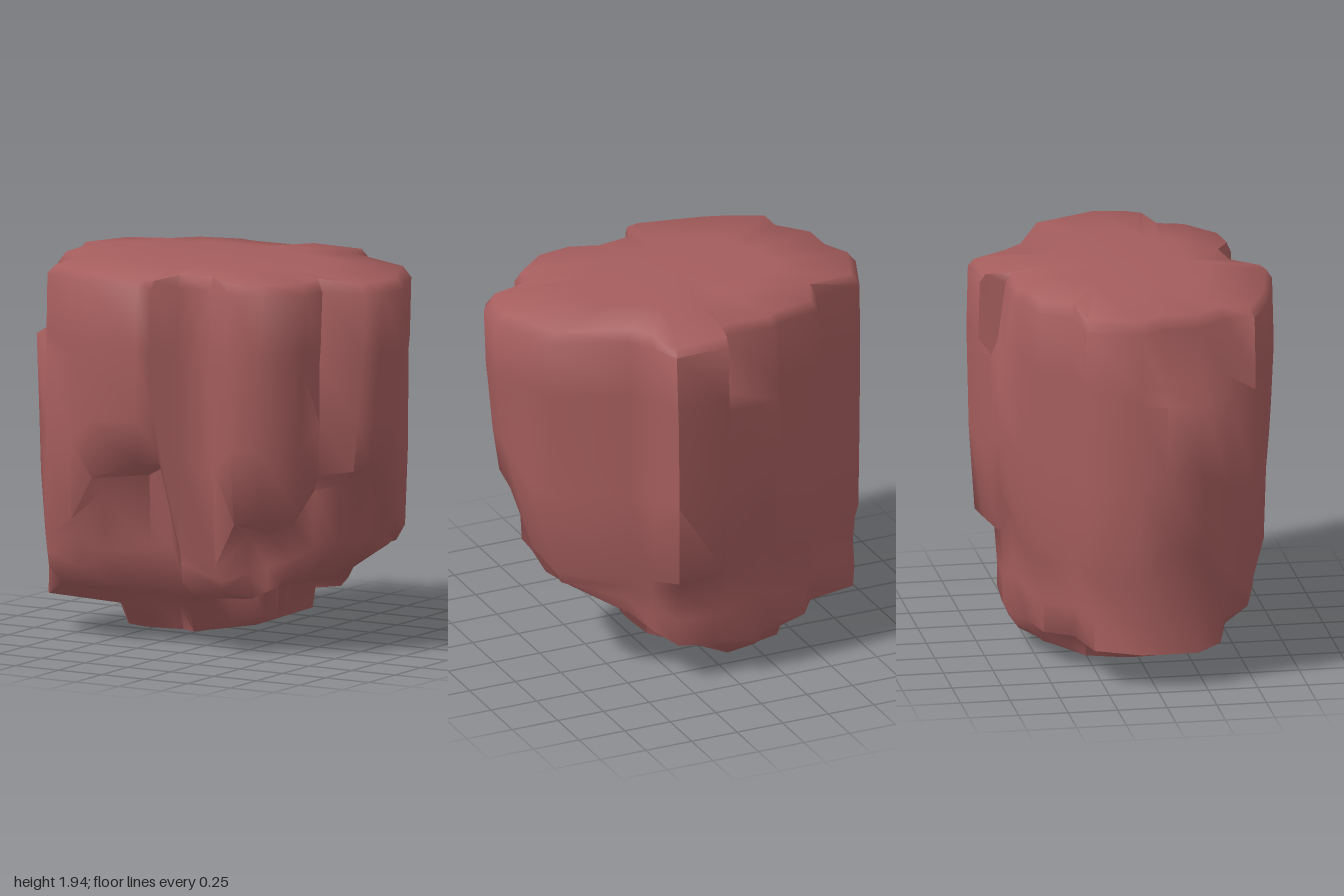
import * as THREE from 'three';
import { toCreasedNormals } from 'three/addons/utils/BufferGeometryUtils.js';

// Vertical ribs around the rock: upper x, z, shelf height, then x, z below the shelf
const ribs = [
  [1.0, 0.0, 0.9, 0.81, 0.0], [0.98, 0.17, 0.93, 0.8, 0.14], [0.93, 0.25, 0.91, 0.76, 0.21],
  [0.7, 0.29, 0.88, 0.64, 0.27], [0.69, 0.43, 0.7, 0.54, 0.32], [0.52, 0.58, 0.66, 0.43, 0.36],
  [0.34, 0.6, 0.64, 0.34, 0.4], [0.2, 0.53, 0.42, 0.24, 0.5], [0.02, 0.56, 0.5, 0.04, 0.55],
  [-0.05, 0.71, 1.0, -0.02, 0.56], [-0.12, 0.73, 0.92, -0.18, 0.5], [-0.45, 0.66, 0.82, -0.42, 0.55],
  [-0.57, 0.62, 0.6, -0.57, 0.56], [-0.76, 0.53, 0.48, -0.77, 0.5], [-0.85, 0.38, 0.55, -0.87, 0.36],
  [-1.0, 0.23, 0.75, -0.95, 0.22], [-1.0, 0.05, 0.75, -0.96, 0.04], [-0.95, -0.08, 0.6, -0.95, -0.08],
  [-0.85, -0.34, 0.6, -0.84, -0.3], [-0.6, -0.37, 0.6, -0.6, -0.36], [-0.53, -0.53, 0.6, -0.5, -0.5],
  [-0.3, -0.58, 0.6, -0.28, -0.55], [-0.25, -0.68, 0.8, -0.2, -0.61], [0.02, -0.67, 0.6, 0.02, -0.62],
  [0.05, -0.73, 0.58, 0.08, -0.62], [0.34, -0.74, 0.55, 0.28, -0.61], [0.4, -0.57, 0.52, 0.38, -0.52],
  [0.48, -0.47, 0.54, 0.47, -0.43], [0.85, -0.32, 0.56, 0.77, -0.3], [0.92, -0.15, 0.64, 0.8, -0.15],
];

const { lerp, smoothstep } = THREE.MathUtils;

// Points of one rib, from the middle of the top to the lowest point underneath
function ribPoints([x, z, shelf, lx, lz]) {
  // The left bulge and a small rib at the back start below the rim
  const tx = x < -0.8 && z > -0.06 ? x * 0.88 : x;
  const tz = z < -0.6 && x < 0.03 ? z * 0.9 : z;
  const dome = (s) => 1.94 - 0.06 * s * s * Math.min(1, tx * tx * 0.7 + z * z * 1.6);
  // The underside rises towards the right, is chamfered along the front and tucked in at front right
  const front = smoothstep(lz, 0.3, 0.5);
  const tuck = smoothstep(lx, 0.45, 0.7) * smoothstep(lz, -0.35, 0.1);
  const foot = 0.18 + 0.32 * smoothstep(lx, 0.2, 0.75) + 0.09 * front - 0.14 * tuck;
  const fx = lx * (lx < -0.6 ? 0.99 : 0.95 - 0.24 * tuck);
  const fz = lz * lerp(0.98, 0.75, front);
  // Narrow pedestal below the overhanging ribs
  const px = -0.14 + (lx + 0.14) * (lx > -0.14 ? 0.5 : 0.57);
  const pz = -0.15 + (lz + 0.15) * (lz > -0.15 ? 0.6 : 0.95);
  const bottomY = 0.06 + 0.2 * Math.max(0, px + 0.08) + 0.25 * Math.max(0, -pz - 0.38);
  const pedestalY = Math.max(0.14 + 0.16 * smoothstep(px, -0.1, 0.3) + 0.05 * front, bottomY + 0.03);
  return [
    [0, 1.94, 0],
    [tx * 0.55, dome(0.55), tz * 0.55],
    [tx * 0.95, dome(0.95), tz * 0.95],
    [tx * 0.997, 1.85, tz * 0.99],
    [tx * (tx > 0 ? 0.985 : 1), 1.56, lerp(z, tz, 0.5)],
    [x * (x > 0 ? 0.975 : 1), 1.48, z],
    [lerp(x, lx, 0.28), lerp(1.48, shelf, 0.5), lerp(z, lz, 0.07)],
    [lerp(x, lx, 0.47), shelf + 0.04, lerp(z, lz, 0.28)],
    [lx, shelf - 0.04, lz],
    [lx * 0.98, lerp(shelf, foot, 0.62), lz * 0.98],
    [fx, foot, fz],
    [px, pedestalY, pz],
    [lerp(px, -0.14, 0.05), bottomY, lerp(pz, -0.15, pz > -0.15 ? 0.1 : 0.05)],
    [-0.1, 0, -0.39],
  ];
}

function rockGeometry() {
  const columns = ribs.map(ribPoints);
  const n = columns.length;
  const last = columns[0].length - 1;
  const pos = [];
  for (let j = 0; j < n; j++) {
    const p = columns[j];
    const q = columns[(j + 1) % n];
    for (let i = 0; i < last; i++) {
      if (i > 0) pos.push(...p[i], ...q[i], ...p[i + 1]);
      if (i < last - 1) pos.push(...q[i], ...q[i + 1], ...p[i + 1]);
    }
  }
  const g = new THREE.BufferGeometry();
  g.setAttribute('position', new THREE.Float32BufferAttribute(pos, 3));
  return toCreasedNormals(g, THREE.MathUtils.degToRad(68));
}

export function createModel() {
  const group = new THREE.Group();
  group.name = 'rock';
  const boulder = new THREE.Mesh(rockGeometry(), new THREE.MeshStandardMaterial({ color: 0xa55d5d }));
  boulder.name = 'boulder';
  group.add(boulder);
  return group;
}
